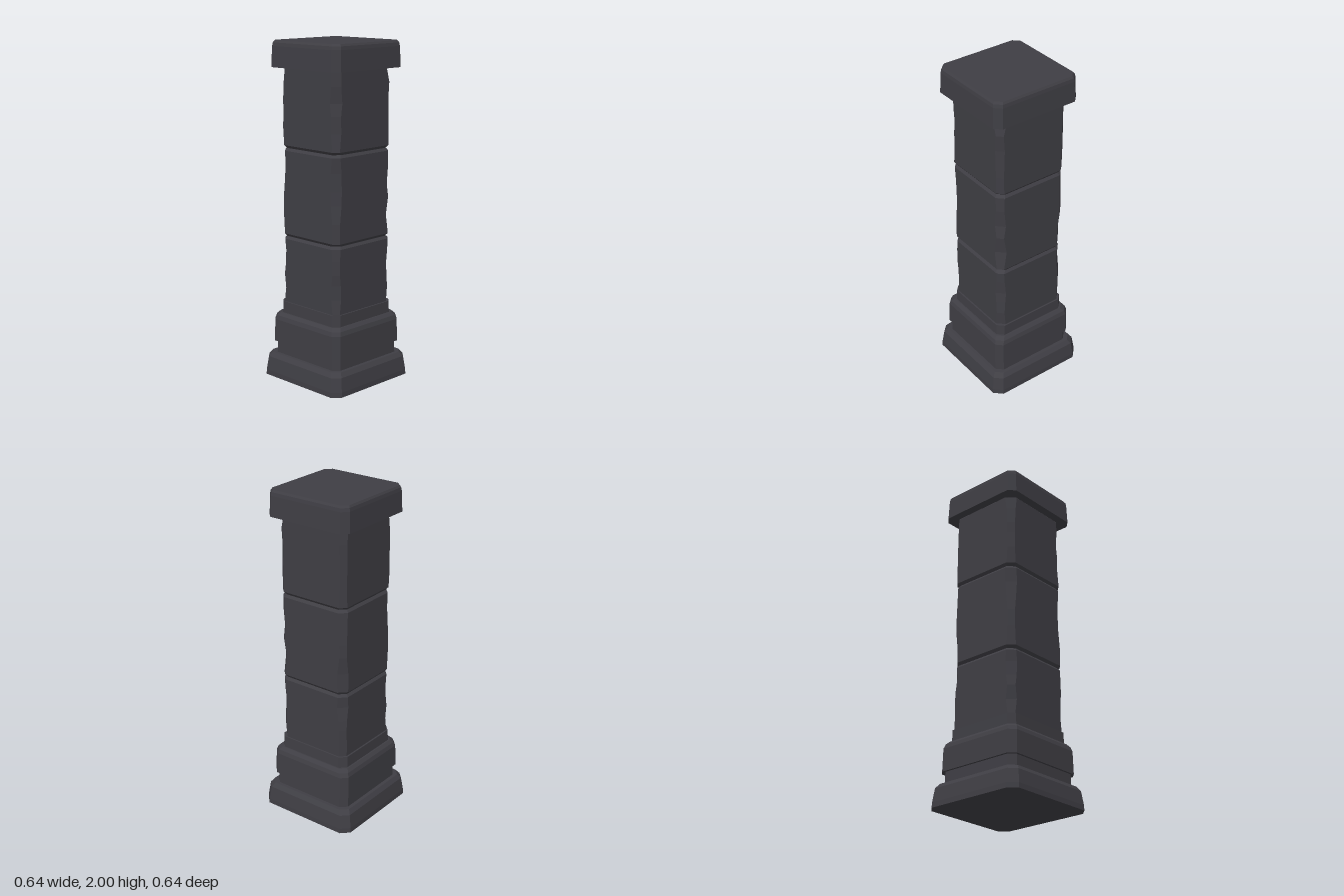
import * as THREE from 'three';

const stone = new THREE.MeshStandardMaterial({ color: 0x3f3e44 });
stone.name = 'dark stone';

// Square outline with cut corners; cuts lists the four corner sizes
function outline(y, half, cuts) {
  const signs = [[1, 1], [1, -1], [-1, -1], [-1, 1]];
  const points = [];
  signs.forEach(([sx, sz], i) => {
    const inner = half - cuts[i];
    const a = new THREE.Vector3(sx * half, y, sz * inner);
    const b = new THREE.Vector3(sx * inner, y, sz * half);
    // Keep the points running anticlockwise seen from above
    points.push(...(sx * sz > 0 ? [b, a] : [a, b]));
  });
  return points;
}

// Faceted, closed block through rings of [y, half width, corner cut(s)]
function block(name, rings) {
  const loops = rings.map(([y, half, cut]) =>
    outline(y, half, Array.isArray(cut) ? cut : [cut, cut, cut, cut]));
  const pos = [];
  const tri = (...v) => v.forEach((p) => pos.push(p.x, p.y, p.z));
  for (let r = 0; r < loops.length - 1; r++) {
    const lo = loops[r], hi = loops[r + 1];
    for (let i = 0; i < 8; i++) {
      const j = (i + 1) % 8;
      tri(lo[i], lo[j], hi[j]);
      tri(lo[i], hi[j], hi[i]);
    }
  }
  const bottom = loops[0], top = loops[loops.length - 1];
  for (let i = 1; i < 7; i++) {
    tri(bottom[0], bottom[i + 1], bottom[i]);
    tri(top[0], top[i], top[i + 1]);
  }
  const geo = new THREE.BufferGeometry();
  geo.setAttribute('position', new THREE.Float32BufferAttribute(pos, 3));
  geo.computeVertexNormals();
  const mesh = new THREE.Mesh(geo, stone);
  mesh.name = name;
  return mesh;
}

// Small repeatable number generator for the worn corners
function seeded(seed) {
  return () => {
    seed = (seed * 16807) % 2147483647;
    return seed / 2147483647;
  };
}

// Shaft block with bevelled ends and unevenly chipped corners
function shaftBlock(name, y0, y1, random) {
  const worn = () => [0, 1, 2, 3].map(() => 0.03 + 0.022 * random() ** 2);
  const rings = [[y0, 0.219, 0.036], [y0 + 0.016, 0.231, worn()]];
  for (const t of [0.25, 0.45, 0.6, 0.8]) {
    rings.push([y0 + (y1 - y0) * t, 0.231, worn()]);
  }
  rings.push([y1 - 0.016, 0.231, worn()], [y1, 0.219, 0.036]);
  return block(name, rings);
}

export function createModel() {
  const pillar = new THREE.Group();
  pillar.name = 'stonePillar';
  const random = seeded(4217);

  // Stepped base
  pillar.add(block('plinth', [
    [0, 0.32, 0.046], [0.03, 0.319, 0.046], [0.112, 0.307, 0.042], [0.138, 0.288, 0.04],
  ]));
  pillar.add(block('baseNeck', [[0.13, 0.267, 0.036], [0.215, 0.265, 0.036]]));
  pillar.add(block('baseMoulding', [
    [0.21, 0.278, 0.036], [0.345, 0.275, 0.036], [0.37, 0.267, 0.036], [0.388, 0.25, 0.036],
  ]));
  pillar.add(block('shaftCollar', [[0.38, 0.242, 0.036], [0.457, 0.24, 0.036]]));

  // Three stacked shaft blocks with grooves between them
  [[0.44, 0.857], [0.857, 1.382], [1.382, 1.86]].forEach(([y0, y1], i) => {
    pillar.add(shaftBlock(`shaftBlock${i + 1}`, y0, y1, random));
  });

  // Cap
  pillar.add(block('cap', [
    [1.848, 0.28, 0.038], [1.968, 0.275, 0.036], [1.988, 0.272, 0.036], [2, 0.264, 0.034],
  ]));
  return pillar;
}
